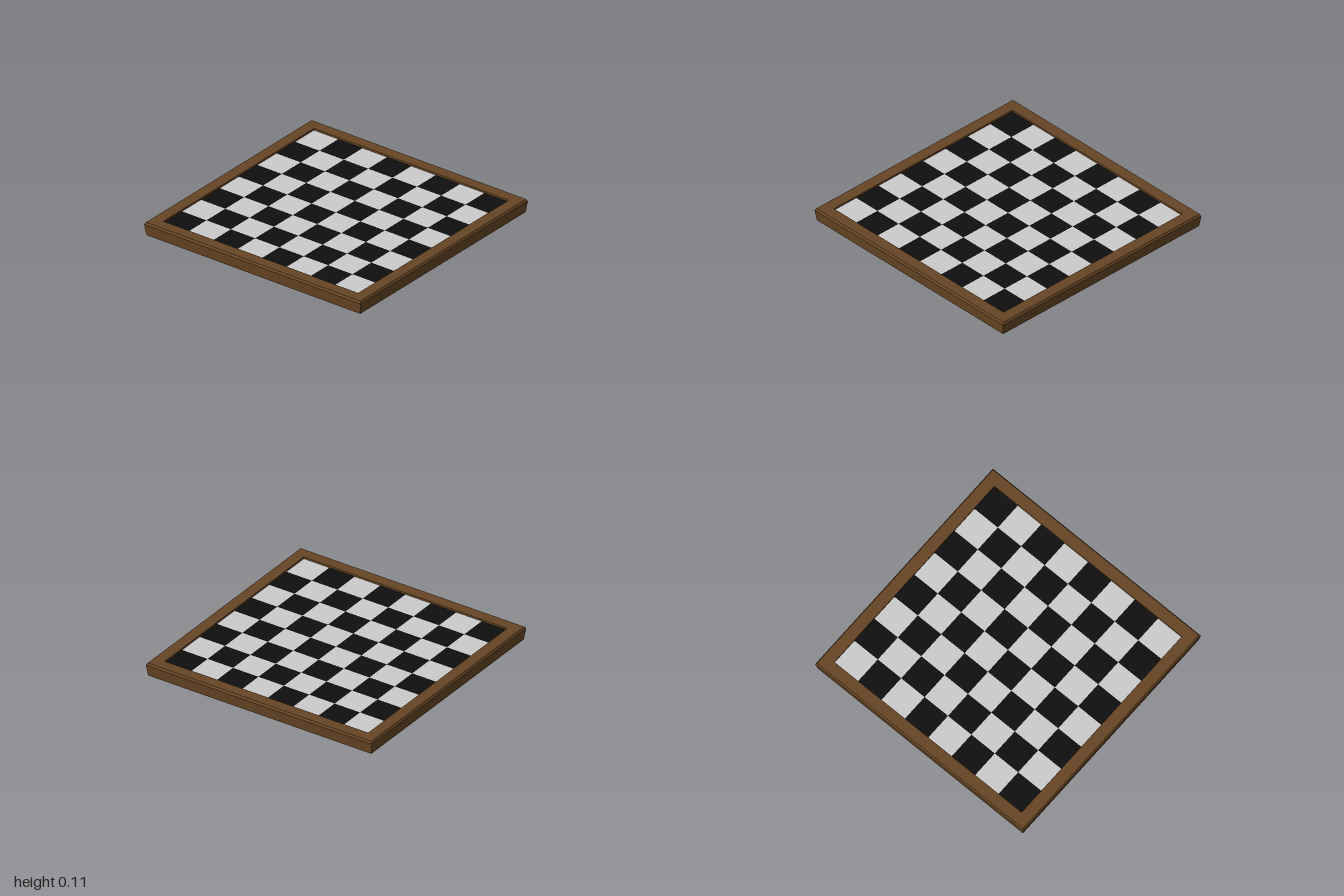
import * as THREE from 'three';
import { mergeGeometries } from 'three/addons/utils/BufferGeometryUtils.js';

const CELLS = 8;
const INNER = 0.9;        // half width of the playing field
const FIELD_Y = 0.092;    // field lies slightly below the rim

// Square ring swept from a [halfWidth, y] profile
function squareSweep(profile) {
  const points = profile.map(([r, y]) => new THREE.Vector2(r * Math.SQRT2, y));
  const geometry = new THREE.LatheGeometry(points, 4, Math.PI / 4).toNonIndexed();
  geometry.computeVertexNormals();
  return geometry;
}

// All squares of one colour, merged
function squares(parity) {
  const size = (2 * INNER) / CELLS;
  const parts = [];
  for (let row = 0; row < CELLS; row++) {
    for (let col = 0; col < CELLS; col++) {
      if ((row + col) % 2 !== parity) continue;
      const tile = new THREE.PlaneGeometry(size, size).rotateX(-Math.PI / 2);
      tile.translate((col + 0.5) * size - INNER, FIELD_Y, (row + 0.5) * size - INNER);
      parts.push(tile);
    }
  }
  return mergeGeometries(parts);
}

export function createModel() {
  const group = new THREE.Group();
  group.name = 'checkeredBoard';
  const add = (name, geometry, color, flatShading = false) => {
    const mesh = new THREE.Mesh(geometry, new THREE.MeshStandardMaterial({ color, flatShading }));
    mesh.name = name;
    group.add(mesh);
  };

  // Wooden frame: flat base, flared sides, chamfered rim and inner step
  add('frame', squareSweep([
    [0, 0], [0.988, 0], [1, 0.09], [0.99, 0.107], [INNER, 0.107], [INNER, FIELD_Y],
  ]), 0x664524, true);

  // Playing field
  add('lightSquares', squares(0), 0xcccccc);
  add('darkSquares', squares(1), 0x0f0f0f);
  return group;
}
